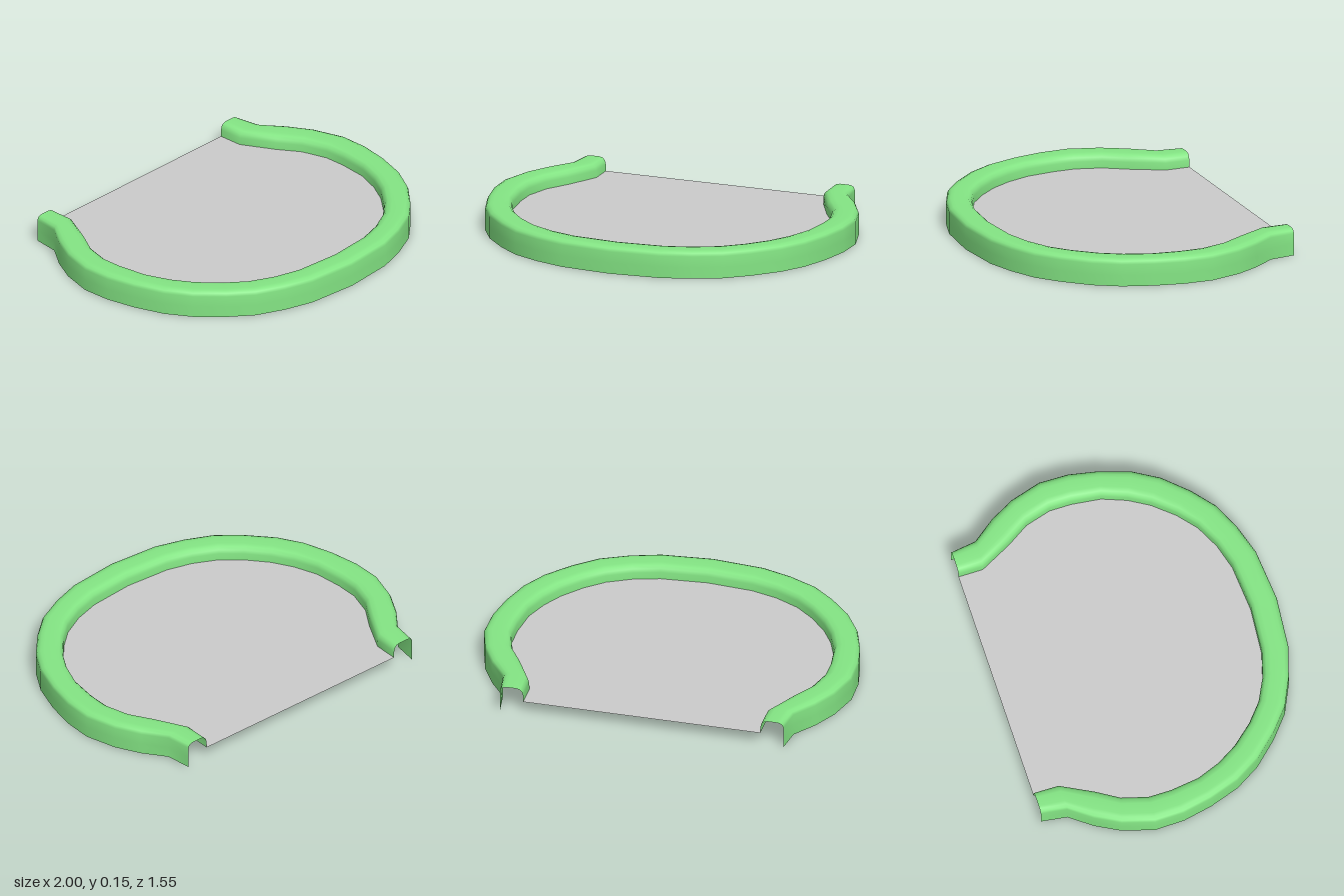
import * as THREE from 'three';

// Half outline on +x, from the back end to the front middle: [outerX, outerZ, innerX, innerZ]
const HALF = [
  [0.77, -0.78, 0.645, -0.78], [0.79, -0.64, 0.645, -0.645],
  [0.88, -0.52, 0.735, -0.47], [0.95, -0.39, 0.81, -0.35],
  [1.0, -0.22, 0.85, -0.21], [0.997, -0.06, 0.85, -0.09],
  [0.965, 0.1, 0.83, 0.07], [0.91, 0.265, 0.78, 0.2],
  [0.83, 0.4, 0.715, 0.31], [0.71, 0.53, 0.62, 0.42],
  [0.59, 0.63, 0.52, 0.505], [0.44, 0.7, 0.39, 0.57],
  [0.28, 0.75, 0.25, 0.61], [0, 0.775, 0, 0.63],
];
const FLOOR_Y = 0.07;

// Rim section: [fraction from outer to inner edge, height]; open underneath
const SECTION = [
  [0, 0], [0, 0.06], [0, 0.12], [0.05, 0.136], [0.17, 0.144], [0.3, 0.146],
  [0.68, 0.146], [0.85, 0.141], [0.95, 0.128], [0.99, 0.108], [1, FLOOR_Y],
];

// Full outline: the half plus its mirror
const outline = [
  ...HALF,
  ...HALF.slice(0, -1).reverse().map(([ox, oz, ix, iz]) => [-ox, oz, -ix, iz]),
];

function rimGeometry() {
  const positions = [], index = [], n = SECTION.length;
  outline.forEach(([ox, oz, ix, iz], i) => {
    SECTION.forEach(([t, y], j) => {
      positions.push(ox + (ix - ox) * t, y, oz + (iz - oz) * t);
      if (i && j) {
        const c = i * n + j, d = c - n;
        index.push(d - 1, d, c, d - 1, c, c - 1);
      }
    });
  });
  const geometry = new THREE.BufferGeometry();
  geometry.setAttribute('position', new THREE.Float32BufferAttribute(positions, 3));
  geometry.setIndex(index);
  geometry.computeVertexNormals();
  return geometry;
}

export function createModel() {
  const group = new THREE.Group();
  group.name = 'tray';

  // Raised channel-shaped rim with two open ends at the back
  const rim = new THREE.Mesh(rimGeometry(), new THREE.MeshStandardMaterial({
    color: 0x84e584, side: THREE.DoubleSide,
  }));
  rim.name = 'rim';

  // Flat floor filling the inside of the rim
  const shape = new THREE.Shape(outline.map(([, , x, z]) => new THREE.Vector2(x, -z)));
  const floor = new THREE.Mesh(
    new THREE.ShapeGeometry(shape).rotateX(-Math.PI / 2),
    new THREE.MeshStandardMaterial({ color: 0xcccccc, side: THREE.DoubleSide }),
  );
  floor.position.y = FLOOR_Y;
  floor.name = 'floor';

  group.add(rim, floor);
  return group;
}
